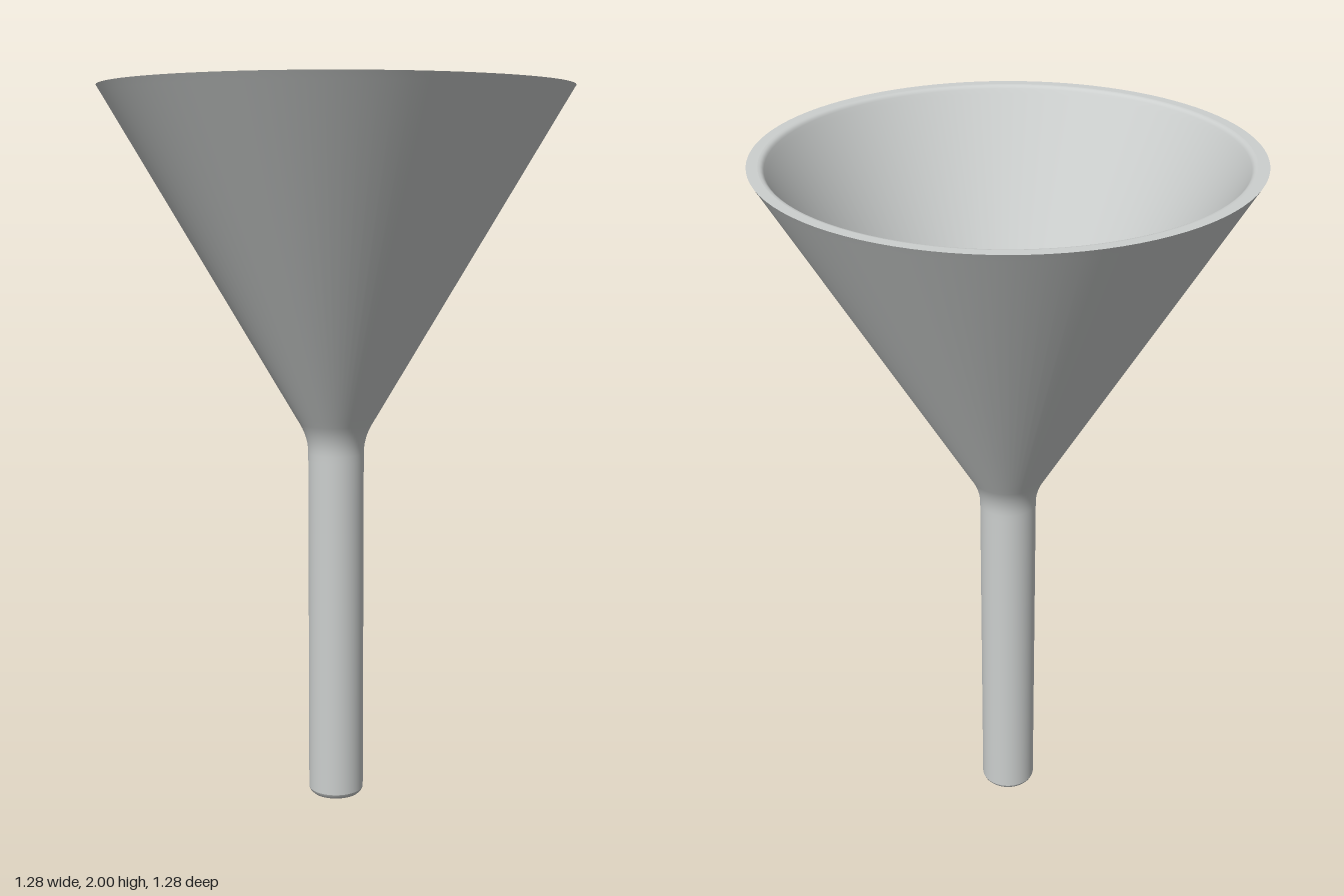
import * as THREE from 'three';

const SEGMENTS = 96;

// Revolve a profile of [radius, height] pairs; rising profiles face outwards.
function revolve(name, profile, material) {
  const points = profile.map(([r, y]) => new THREE.Vector2(r, y));
  const mesh = new THREE.Mesh(new THREE.LatheGeometry(points, SEGMENTS), material);
  mesh.name = name;
  return mesh;
}

// Rounded bend between two straight runs, as a list of [radius, height] pairs.
function bend(start, corner, end, steps = 6) {
  return new THREE.QuadraticBezierCurve(
    new THREE.Vector2(...start), new THREE.Vector2(...corner), new THREE.Vector2(...end)
  ).getPoints(steps).map((p) => [p.x, p.y]);
}

export function createModel() {
  const group = new THREE.Group();
  group.name = 'funnel';
  const grey = new THREE.MeshStandardMaterial({ color: 0xcccfce });
  grey.name = 'lightGrey';

  // Outside of the stem and cone, with a filleted neck
  group.add(revolve('outerWall', [
    [0.078, 0.015], [0.078, 0.03], [0.078, 0.98],
    ...bend([0.078, 1.0], [0.078, 1.043], [0.102, 1.084]),
    [0.114, 1.104], [0.628, 1.98], [0.64, 2.0],
  ], grey));

  // Flat rim with a softened inner edge, then the inside of the cone and bore
  group.add(revolve('rim', [[0.64, 2.0], [0.612, 2.0]], grey));
  group.add(revolve('innerWall', [
    ...bend([0.612, 2.0], [0.602, 2.0], [0.597, 1.991], 4),
    [0.59, 1.979], [0.073, 1.098],
    ...bend([0.067, 1.087], [0.058, 1.071], [0.058, 1.05]),
    [0.058, 1.03], [0.058, 0.02], [0.058, 0.008],
  ], grey));

  // Rounded lip at the foot of the stem
  group.add(revolve('stemTip', [
    [0.058, 0.008], [0.062, 0.001], [0.065, 0], [0.068, 0.001], [0.075, 0.008], [0.078, 0.015],
  ], grey));

  return group;
}
